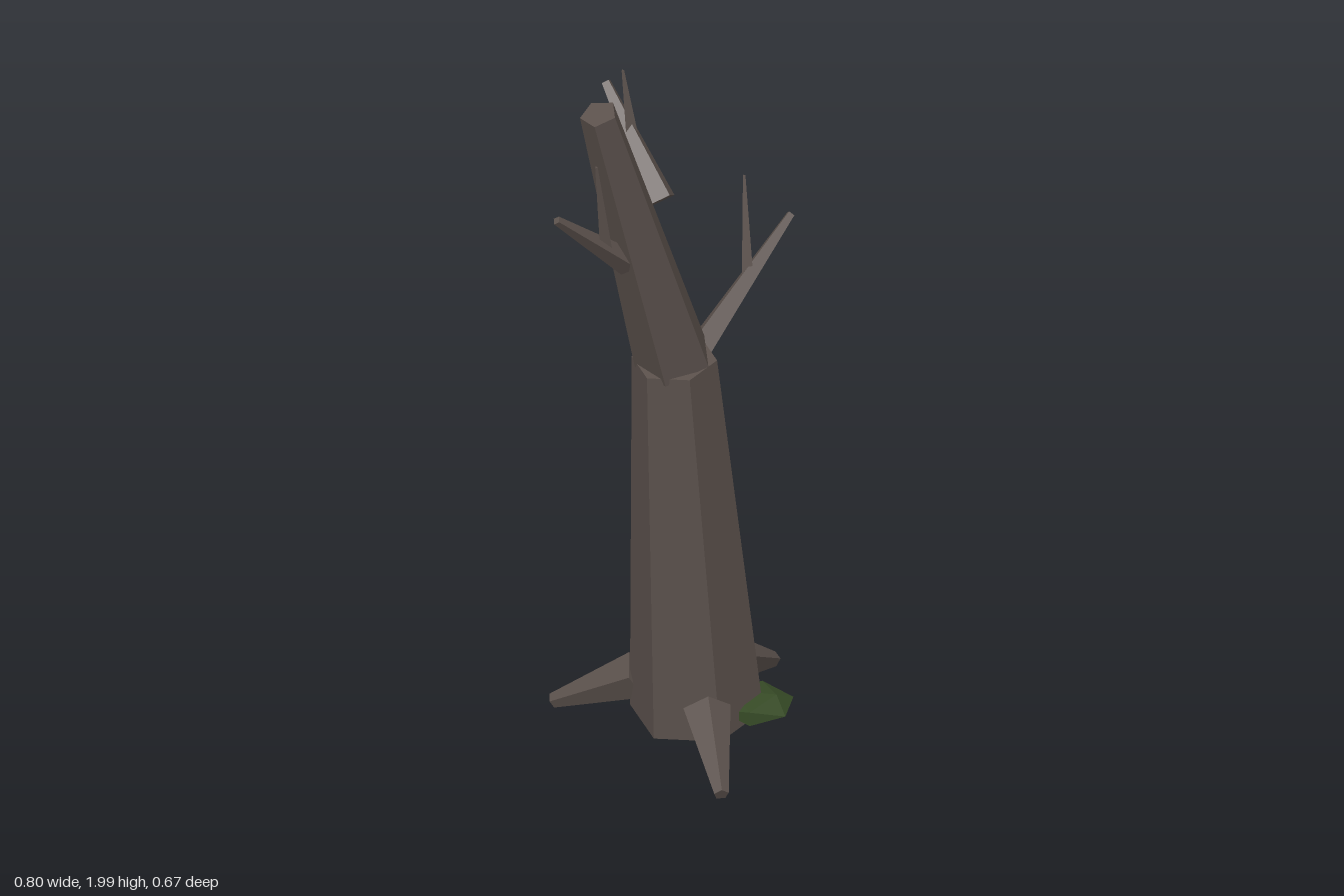
import * as THREE from 'three';

const bark = new THREE.MeshStandardMaterial({ color: 0x5b514c, flatShading: true });
bark.name = 'bark';
const moss = new THREE.MeshStandardMaterial({ color: 0x364a26, flatShading: true });
moss.name = 'moss';

// Tapered prism from point a to point b; one ridge is turned towards ref
function limb(name, a, b, r0, r1, sides, ref = [0, 1, 0]) {
  const start = new THREE.Vector3(...a);
  const end = new THREE.Vector3(...b);
  const y = end.clone().sub(start);
  const length = y.length();
  y.normalize();
  const z = new THREE.Vector3(...ref);
  z.addScaledVector(y, -z.dot(y)).normalize();
  const x = new THREE.Vector3().crossVectors(y, z);

  const geometry = new THREE.CylinderGeometry(r1, r0, length, sides);
  geometry.translate(0, length / 2, 0);
  geometry.applyMatrix4(new THREE.Matrix4().makeBasis(x, y, z));
  geometry.translate(...a);
  const mesh = new THREE.Mesh(geometry, bark);
  mesh.name = name;
  return mesh;
}

export function createModel() {
  const tree = new THREE.Group();
  tree.name = 'deadTree';

  // Trunk in two leaning sections
  const joint = [-0.015, 1.15, 0.012];
  tree.add(limb('lowerTrunk', [0.075, 0.067, -0.065], joint, 0.175, 0.112, 6, [0, 0, 1]));
  tree.add(limb('upperTrunk', joint, [-0.272, 1.985, 0.143], 0.105, 0.05, 5, [0, 0, -1]));

  // Three roots spread around the foot
  const tips = [[0, 0.32], [-0.23, -0.31], [0.382, -0.32]];
  for (const [x, z] of tips) {
    const dir = new THREE.Vector2(x - 0.075, z + 0.065).normalize().multiplyScalar(0.155);
    const start = [0.075 + dir.x, 0.14, -0.065 + dir.y];
    tree.add(limb('root', start, [x, 0.021, z], 0.065, 0.02, 5));
  }

  // Branches, each with a thin twig
  const branches = [
    { name: 'leftBranch', a: [0.07, 1.127, -0.045], b: [0.395, 1.375, -0.228], r: [0.04, 0.012],
      twig: [[0.24, 1.25, -0.14], [0.265, 1.515, -0.226]] },
    { name: 'rightBranch', a: [-0.17, 1.5, 0.09], b: [-0.393, 1.7, 0.155], r: [0.036, 0.012],
      twig: [[-0.245, 1.57, 0.115], [-0.28, 1.83, 0.145]] },
    { name: 'topBranch', a: [-0.06, 1.635, 0.035], b: [-0.135, 1.893, -0.173], r: [0.045, 0.014],
      twig: [[-0.1, 1.775, -0.08], [-0.118, 1.963, -0.095]] },
  ];
  for (const { name, a, b, r, twig } of branches) {
    tree.add(limb(name, a, b, r[0], r[1], 4));
    tree.add(limb(name + 'Twig', twig[0], twig[1], 0.019, 0.004, 3, [0, 0, -1]));
  }

  // Flattened moss clump at the foot
  const clump = new THREE.IcosahedronGeometry(1, 0);
  clump.rotateZ(-1.017).rotateX(0.3);
  clump.scale(0.103, 0.037, 0.105).translate(0.207, 0.097, 0.02);
  const mossClump = new THREE.Mesh(clump, moss);
  mossClump.name = 'mossClump';
  tree.add(mossClump);

  return tree;
}
